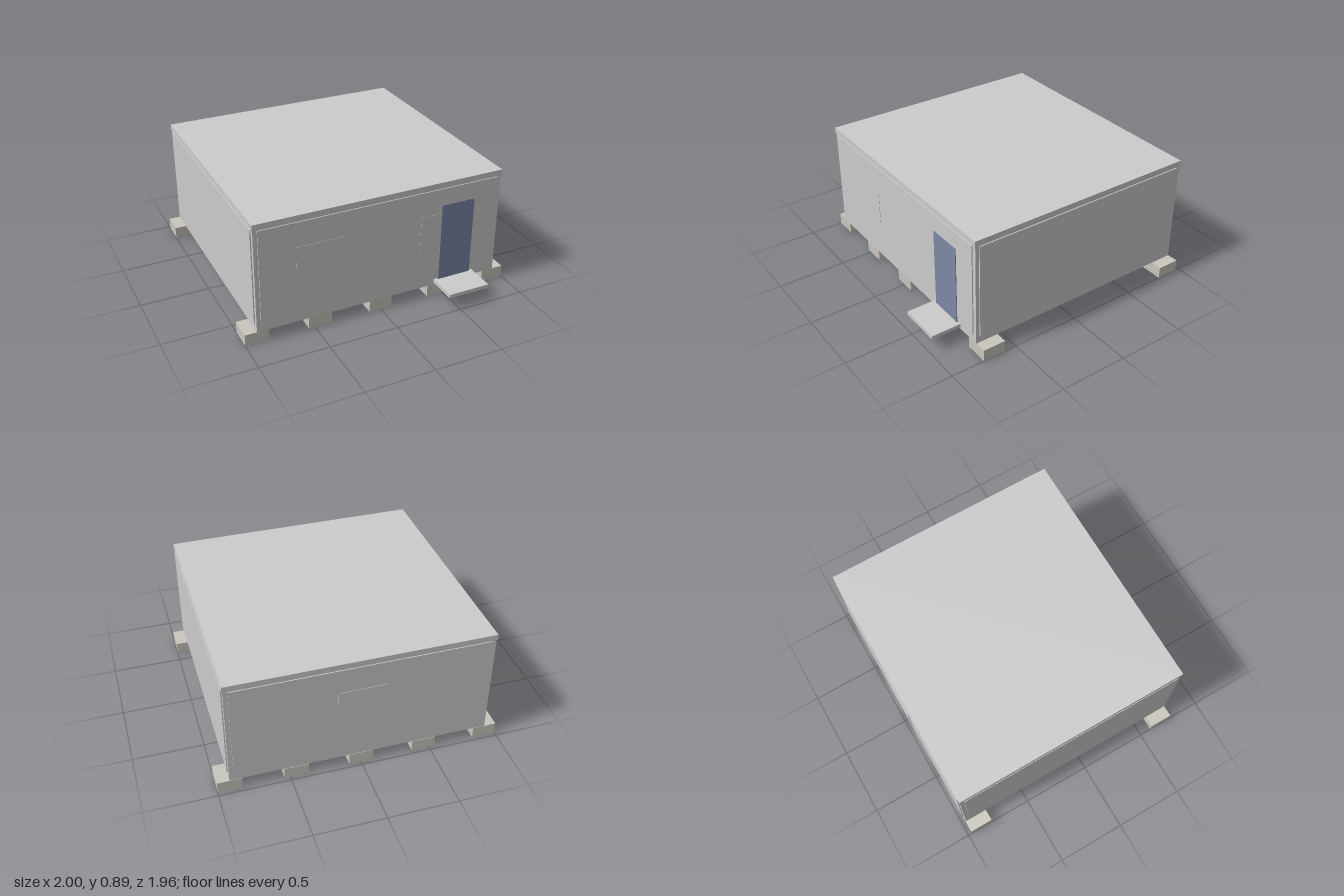
import * as THREE from 'three';

const grey = new THREE.MeshStandardMaterial({ color: 0xcccccc });
const doorBlue = new THREE.MeshStandardMaterial({ color: 0x7d88a6 });
const concrete = new THREE.MeshStandardMaterial({ color: 0xc9c6bd });
const floorTan = new THREE.MeshStandardMaterial({ color: 0xc4bda6 });

// Box given by its extents along each axis
function box(parent, name, [x0, x1], [y0, y1], [z0, z1], material = grey) {
  const mesh = new THREE.Mesh(new THREE.BoxGeometry(x1 - x0, y1 - y0, z1 - z0), material);
  mesh.position.set((x0 + x1) / 2, (y0 + y1) / 2, (z0 + z1) / 2);
  mesh.name = name;
  parent.add(mesh);
  return mesh;
}

export function createModel() {
  const cabin = new THREE.Group();
  cabin.name = 'cabin';
  const X = 0.915, FRONT = 0.757, BACK = -0.969;

  // Core of the cabin: floor slab, base frame and walls, roof
  box(cabin, 'floor', [-X + 0.01, X - 0.01], [0.084, 0.1], [BACK + 0.01, FRONT - 0.01], floorTan);
  box(cabin, 'wallCore', [-X, X], [0.086, 0.85], [BACK, FRONT]);
  box(cabin, 'roof', [-0.92, 0.92], [0.848, 0.89], [-0.974, 0.762]);

  // Raised wall panels, one per side
  const panelY = [0.143, 0.842];
  box(cabin, 'frontPanel', [-0.885, 0.885], panelY, [FRONT - 0.01, 0.764]);
  box(cabin, 'backPanel', [-0.885, 0.885], panelY, [-0.976, BACK + 0.01]);
  for (const s of [-1, 1]) {
    const xs = [s * (X - 0.01), s * 0.923].sort((a, b) => a - b);
    box(cabin, s > 0 ? 'leftPanel' : 'rightPanel', xs, panelY, [-0.94, 0.73]);
  }

  // Flush windows: two in front, one at the back
  const windowY = [0.38, 0.66];
  box(cabin, 'frontWindow', [-0.63, -0.29], windowY, [0.755, 0.766]);
  box(cabin, 'frontWindow', [0.29, 0.63], windowY, [0.755, 0.766]);
  box(cabin, 'backWindow', [-0.17, 0.17], windowY, [-0.979, -0.965]);

  // Door and its step
  box(cabin, 'door', [0.45, 0.705], [0.13, 0.718], [0.75, 0.769], doorBlue);
  box(cabin, 'doorStep', [0.42, 0.733], [0.102, 0.13], [0.757, 0.979]);

  // Two rows of foundation blocks
  for (const z of [0.672, -0.888]) {
    for (let i = -2; i <= 2; i++) {
      const x = i * 0.4575;
      box(cabin, 'foundationBlock', [x - 0.085, x + 0.085], [0, 0.086], [z - 0.084, z + 0.084], concrete);
    }
  }
  return cabin;
}
